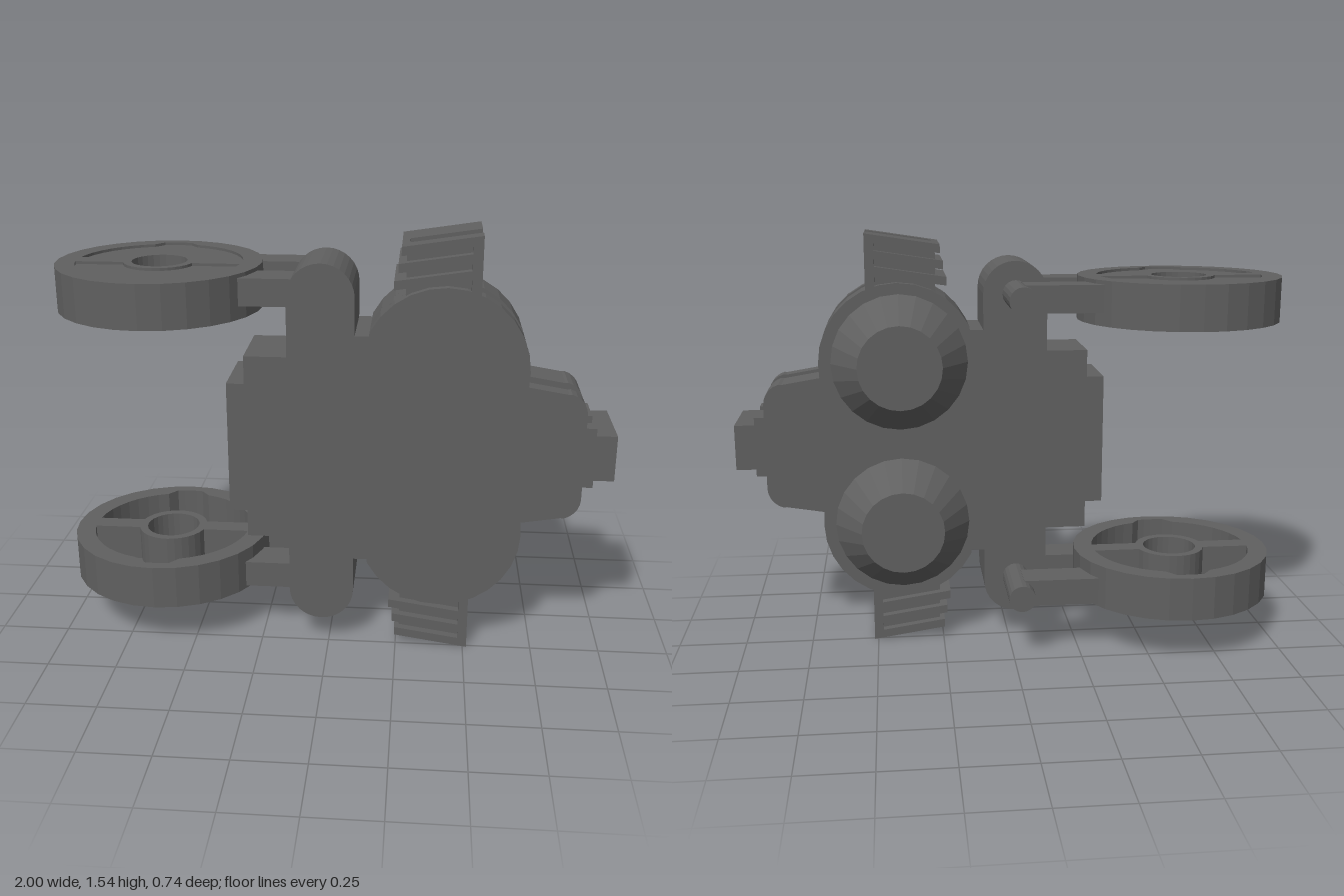
import * as THREE from 'three';

const MID = 0.77; // mirror plane height
const ZB = -0.01, ZS0 = 0.13, ZS1 = 0.2, ZF = 0.26; // back, slot, front depths
const material = new THREE.MeshStandardMaterial({
  color: 0x606060, flatShading: true, side: THREE.DoubleSide,
});

// Points along an arc, angles in degrees
function arc(cx, cy, r, from, to, n) {
  return Array.from({ length: n + 1 }, (_, i) => {
    const a = THREE.MathUtils.degToRad(from + (to - from) * i / n);
    return [cx + r * Math.cos(a), cy + r * Math.sin(a)];
  });
}

const toShape = (pts) => new THREE.Shape(pts.map(([x, y]) => new THREE.Vector2(x, y)));
const circle = (r, n) => toShape(arc(0, 0, r, 0, 360, n).slice(0, -1));

// Close an upper outline with its reflection below the mirror plane
const mirrored = (pts) => toShape([...pts, ...pts.map(([x, y]) => [x, -y]).reverse()]);

function add(parent, name, geometry, x = 0, y = 0, z = 0) {
  const mesh = new THREE.Mesh(geometry, material);
  mesh.name = name;
  mesh.position.set(x, y, z);
  parent.add(mesh);
}

function slab(parent, name, shape, z0, z1) {
  const geo = new THREE.ExtrudeGeometry(shape, { depth: z1 - z0, bevelEnabled: false });
  add(parent, name, geo, 0, 0, z0);
}

function box(parent, name, x0, x1, y0, y1, z0, z1) {
  const geo = new THREE.BoxGeometry(x1 - x0, y1 - y0, z1 - z0);
  add(parent, name, geo, (x0 + x1) / 2, (y0 + y1) / 2, (z0 + z1) / 2);
}

// Stepped left edge and rounded column, shared by all body layers
const leftEdge = [
  [-0.356, 0.24], [-0.293, 0.24], [-0.293, 0.34], [-0.143, 0.34],
  ...arc(-0.026, 0.551, 0.117, 180, 0, 16),
  [0.091, 0.42], [0.14, 0.42],
];

function buildBody(root) {
  const body = new THREE.Group();
  body.name = 'body';
  root.add(body);
  const full = mirrored([
    ...leftEdge,
    ...arc(0.4, 0.303, 0.29, 153, 0, 12),
    [0.687, 0.253], [0.825, 0.23],
    ...arc(0.815, 0.157, 0.077, 75, 0, 5),
    [0.892, 0.11], [0.928, 0.11], [0.928, 0.083], [1, 0.083],
  ]);
  const core = mirrored([...leftEdge, ...arc(0.4, 0.303, 0.29, 153, 116.6, 3)]);
  slab(body, 'backPlate', full, ZB, ZS0);
  slab(body, 'middleCore', core, ZS0, ZS1);
  slab(body, 'frontPlate', full, ZS1, ZF);
  box(body, 'tipBridge', 0.928, 1, -0.083, 0.083, ZS0, ZS1);
}

// Stack of slanted fins split by the central slot
function buildFins(root, s) {
  const fins = new THREE.Group();
  fins.name = s > 0 ? 'upperFins' : 'lowerFins';
  root.add(fins);
  const line = (x, top) => top + (x - 0.245) * 0.15;
  const strip = (x0, x1, top, height) => toShape([
    [x0, s * (line(x0, top) - height)], [x1, s * (line(x1, top) - height)],
    [x1, s * line(x1, top)], [x0, s * line(x0, top)],
  ]);
  const inset = strip(0.262, 0.5, 0.725, 0.2);
  const spine = strip(0.48, 0.514, 0.728, 0.25);
  slab(fins, 'finCoreBack', inset, ZB + 0.03, ZS0);
  slab(fins, 'finCoreFront', inset, ZS1, ZF - 0.03);
  slab(fins, 'finCoreBridge', strip(0.262, 0.272, 0.725, 0.2), ZS0, ZS1);
  slab(fins, 'finSpineBack', spine, ZB, ZS0);
  slab(fins, 'finSpineFront', spine, ZS1, ZF);
  [0.245, 0.235, 0.222].forEach((x0, i) => {
    const top = 0.728 - i * 0.056;
    const blade = strip(x0, 0.485, top, 0.031);
    slab(fins, 'finBack', blade, ZB, ZS0);
    slab(fins, 'finFront', blade, ZS1, ZF);
    slab(fins, 'finBridge', strip(x0, 0.272, top, 0.031), ZS0, ZS1);
  });
}

// Ring with a crossbar, hub hole and two pockets closed by a floor near the outer face
function buildWheel(root, s) {
  const wheel = new THREE.Group();
  wheel.name = s > 0 ? 'upperWheel' : 'lowerWheel';
  wheel.position.set(-0.628, s > 0 ? 0.533 : -0.511, 0);
  root.add(wheel);
  const rim = circle(0.372, 28);
  rim.holes.push(circle(0.1, 28));
  for (const t of [1, -1]) {
    const pocket = [
      ...arc(0, 0, 0.3, 7, 74, 8), ...arc(0, 0, 0.33, 81, 99, 4),
      ...arc(0, 0, 0.3, 106, 173, 8), ...arc(0, 0, 0.13, 164, 16, 12),
    ];
    rim.holes.push(toShape(pocket.map(([x, y]) => [x, t * y])));
  }
  const floor = circle(0.345, 28);
  floor.holes.push(circle(0.115, 28));
  const flat = (name, shape, y, depth) => {
    const geo = new THREE.ExtrudeGeometry(shape, { depth, bevelEnabled: false });
    geo.translate(0, 0, -depth / 2).rotateX(-Math.PI / 2);
    add(wheel, name, geo, 0, y, 0);
  };
  flat('wheelRim', rim, 0, 0.16);
  flat('wheelFloor', floor, s * 0.062, 0.016);
}

// Peg and two arms holding a wheel
function buildMount(root, s) {
  const mount = new THREE.Group();
  mount.name = s > 0 ? 'upperMount' : 'lowerMount';
  root.add(mount);
  const y = s > 0 ? 0.55 : -0.53;
  const peg = new THREE.CylinderGeometry(0.049, 0.049, 0.27, 20).rotateX(Math.PI / 2);
  add(mount, 'peg', peg, -0.028, y, -0.125);
  box(mount, 'backArm', -0.315, -0.04, y - 0.049, y + 0.049, -0.205, -0.082);
  box(mount, 'frontArm', -0.315, -0.12, y - 0.049, y + 0.049, 0.07, 0.2);
}

export function createModel() {
  const model = new THREE.Group();
  model.name = 'model';
  const root = new THREE.Group();
  root.name = 'assembly';
  root.position.y = MID;
  model.add(root);
  buildBody(root);
  for (const s of [1, -1]) {
    buildFins(root, s);
    buildWheel(root, s);
    buildMount(root, s);
    // Tapered boss on the back
    const boss = new THREE.CylinderGeometry(0.152, 0.25, 0.13, 24).rotateX(-Math.PI / 2);
    add(root, s > 0 ? 'upperBoss' : 'lowerBoss', boss, 0.397, s * 0.304, -0.074);
  }
  return model;
}
